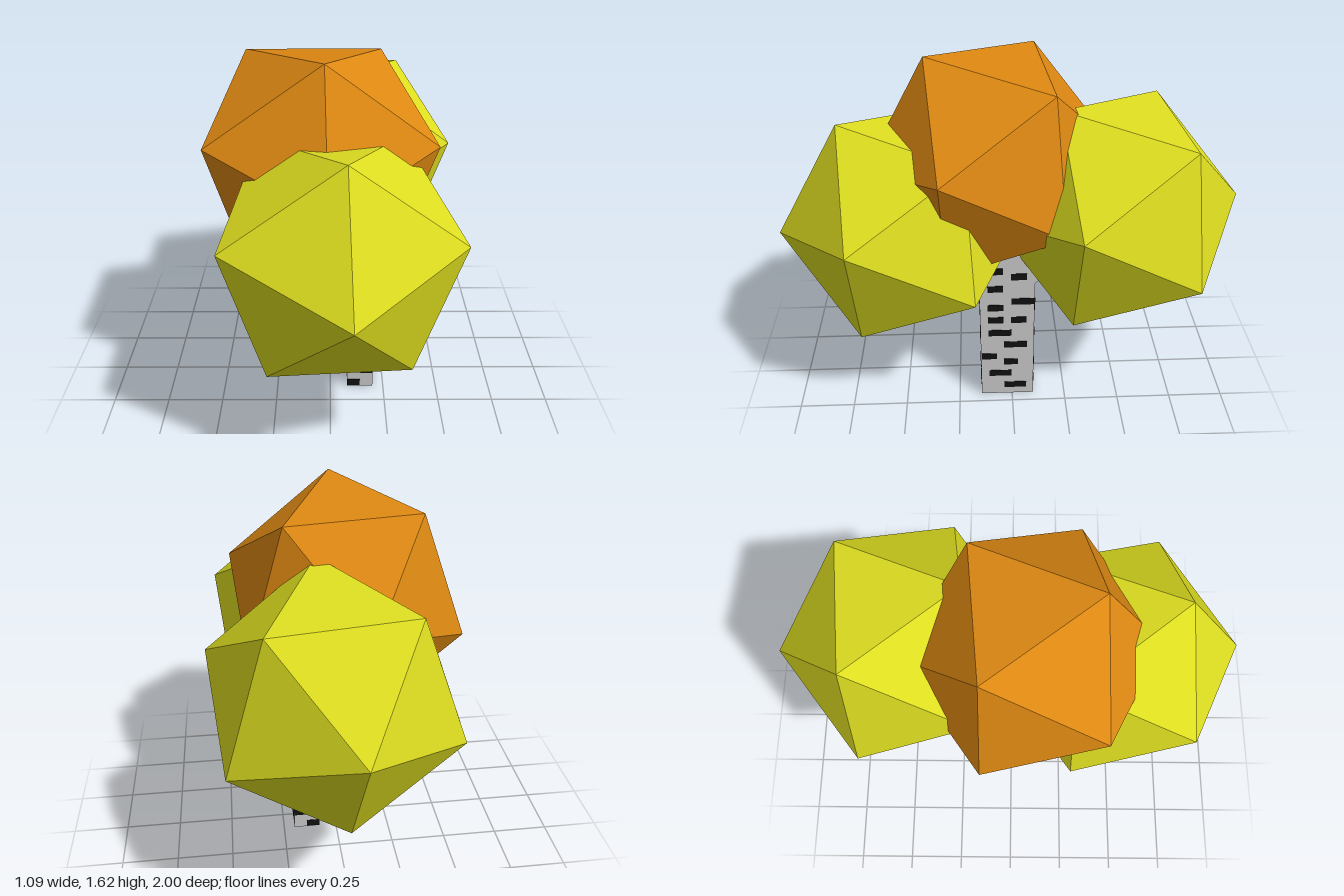
import * as THREE from 'three';

const yellow = new THREE.MeshStandardMaterial({ color: 0xdddd20, flatShading: true });
const orange = new THREE.MeshStandardMaterial({ color: 0xdd8812, flatShading: true });
const bark = new THREE.MeshStandardMaterial({ color: 0xcccccc, side: THREE.DoubleSide });
const black = new THREE.MeshStandardMaterial({ color: 0x111111 });

function add(group, name, geometry, material) {
  const mesh = new THREE.Mesh(geometry, material);
  mesh.name = name;
  group.add(mesh);
  return mesh;
}

// Icosahedron turned so that two neighbouring corners point along a and b
function crown(group, name, material, center, a, b) {
  const va = new THREE.Vector3(...a).normalize();
  const vb = new THREE.Vector3(...b).normalize();
  const y = va.clone().add(vb).normalize();
  const x = vb.sub(va).normalize();
  const z = x.clone().cross(y).normalize();
  const geometry = new THREE.IcosahedronGeometry(0.546, 0);
  geometry.applyMatrix4(new THREE.Matrix4().makeBasis(x, y, z));
  add(group, name, geometry, material).position.set(...center);
}

// Box left open on its -x side
function openBox(w, h, d) {
  const geometry = new THREE.BoxGeometry(w, h, d);
  geometry.setIndex(Array.from(geometry.index.array).filter((_, i) => i < 6 || i >= 12));
  return geometry;
}

export function createModel() {
  const tree = new THREE.Group();
  tree.name = 'tree';

  // Trunk and the short limb reaching into the back crown
  add(tree, 'trunk', openBox(0.12, 0.86, 0.245), bark).position.set(0.14, 0.43, 0.0225);
  const limb = add(tree, 'backLimb', openBox(0.12, 0.42, 0.16), bark);
  limb.position.set(0.14, 0.8, -0.13);
  limb.rotation.x = -0.75;

  // Bark marks on the wide side: z, y, width
  const marks = new THREE.Group();
  marks.name = 'barkMarks';
  tree.add(marks);
  const wide = [
    [-0.015, 0.055, 0.105], [0.055, 0.13, 0.105], [0.005, 0.2, 0.065], [0.105, 0.235, 0.07],
    [-0.015, 0.305, 0.105], [0.055, 0.375, 0.105], [0.075, 0.45, 0.07], [-0.03, 0.45, 0.07],
    [0.075, 0.52, 0.07], [-0.05, 0.555, 0.105], [0.075, 0.625, 0.07], [-0.03, 0.69, 0.07],
    [0.075, 0.72, 0.07],
  ];
  for (const [z, y, w] of wide) {
    add(marks, 'sideMark', new THREE.BoxGeometry(0.004, 0.034, w), black).position.set(0.2, y, z);
  }

  // Bark marks on the narrow front and back, alternating left and right
  const narrow = [0.02, 0.09, 0.13, 0.2, 0.305, 0.375, 0.45, 0.52, 0.6, 0.67];
  for (const z of [0.145, -0.1]) {
    narrow.forEach((y, i) => {
      add(marks, 'endMark', new THREE.BoxGeometry(0.06, 0.034, 0.004), black)
        .position.set(i % 2 ? 0.17 : 0.11, y, z);
    });
  }

  // Three faceted leaf crowns
  crown(tree, 'frontCrown', yellow, [0.022, 0.884, 0.456], [0.058, -0.014, 0.544], [0.038, 0.486, 0.254]);
  crown(tree, 'backCrown', yellow, [0.055, 0.948, -0.456], [-0.055, 0.022, -0.544], [0.275, 0.402, -0.264]);
  crown(tree, 'topCrown', orange, [-0.057, 1.141, 0.082], [0.037, 0.479, 0.268], [0.487, 0.129, 0.208]);

  return tree;
}
